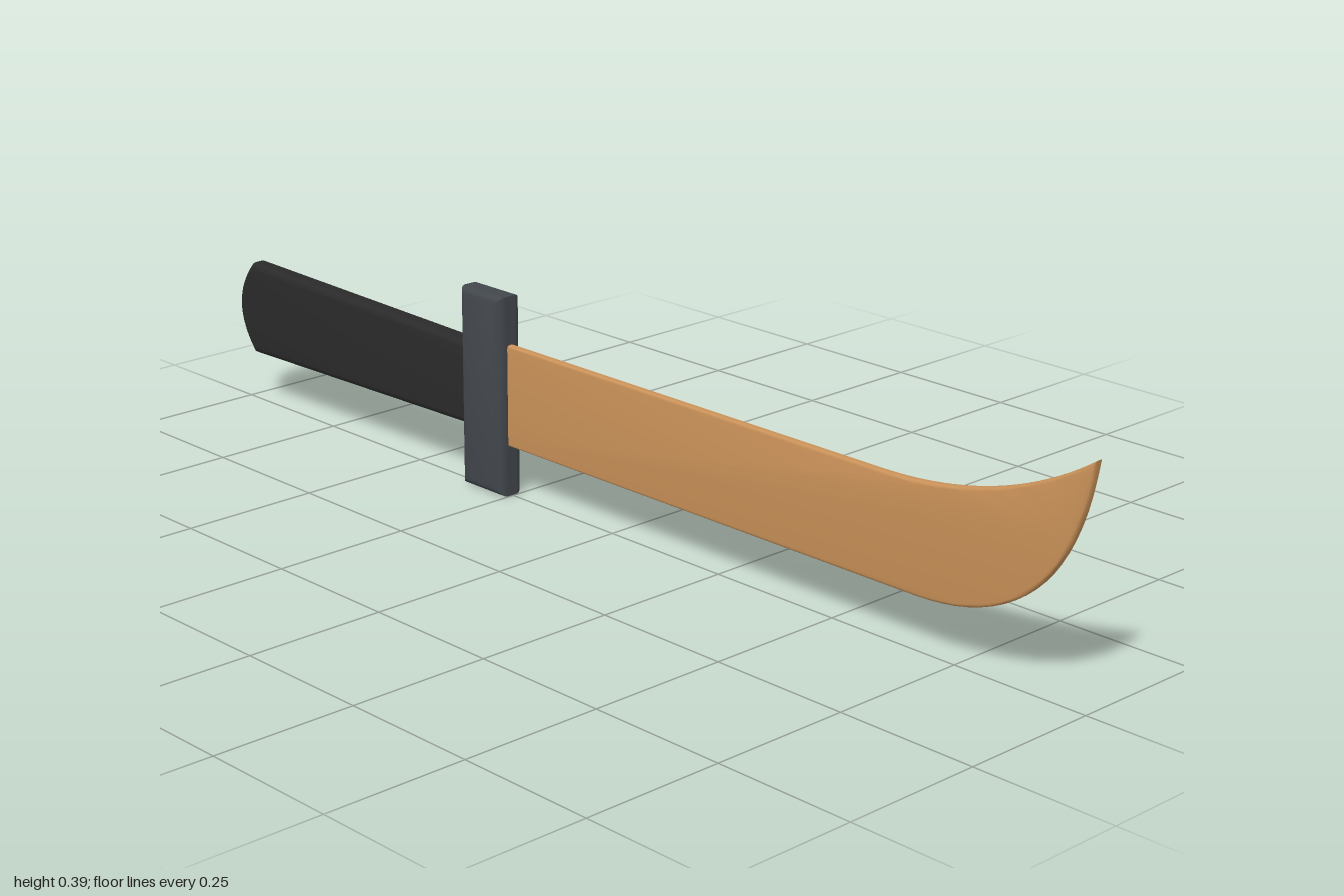
import * as THREE from 'three';
import { toCreasedNormals } from 'three/addons/utils/BufferGeometryUtils.js';

const mat = (name, color) => {
  const m = new THREE.MeshStandardMaterial({ color });
  m.name = name;
  return m;
};

// Outline extruded symmetrically about z = 0; the rounded edges stay inside the outline
function slab(name, shape, halfDepth, round, material, bevelSize = round) {
  const depth = 2 * (halfDepth - round);
  const geo = new THREE.ExtrudeGeometry(shape, {
    depth, curveSegments: 20, bevelEnabled: true,
    bevelThickness: round, bevelSize, bevelOffset: -bevelSize, bevelSegments: 4,
  });
  geo.translate(0, 0, -depth / 2);
  const mesh = new THREE.Mesh(toCreasedNormals(geo, 0.6), material);
  mesh.name = name;
  return mesh;
}

export function createModel() {
  const group = new THREE.Group();
  group.name = 'knife';
  const bronze = mat('bronze', 0xc99158);
  const steel = mat('darkSteel', 0x42474c);
  const grip = mat('blackGrip', 0x2a2a2a);

  // Blade sweeping up to a point
  const blade = new THREE.Shape();
  blade.moveTo(-0.28, 0.09);
  blade.lineTo(0.67, 0.09);
  blade.quadraticCurveTo(0.96, 0.09, 1, 0.392);
  blade.quadraticCurveTo(0.83, 0.274, 0.6, 0.272);
  blade.lineTo(-0.28, 0.272);
  group.add(slab('blade', blade, 0.008, 0.006, bronze, 0.005));

  // Upright cross guard
  const guard = new THREE.Shape();
  guard.moveTo(-0.358, 0);
  guard.lineTo(-0.252, 0);
  guard.lineTo(-0.252, 0.358);
  guard.lineTo(-0.358, 0.358);
  group.add(slab('guard', guard, 0.025, 0.015, steel));

  // Handle widening toward a curved butt
  const handle = new THREE.Shape();
  handle.moveTo(-0.33, 0.109);
  handle.lineTo(-0.33, 0.259);
  handle.lineTo(-0.96, 0.271);
  handle.quadraticCurveTo(-1.04, 0.184, -0.96, 0.097);
  group.add(slab('handle', handle, 0.02, 0.013, grip));

  return group;
}
